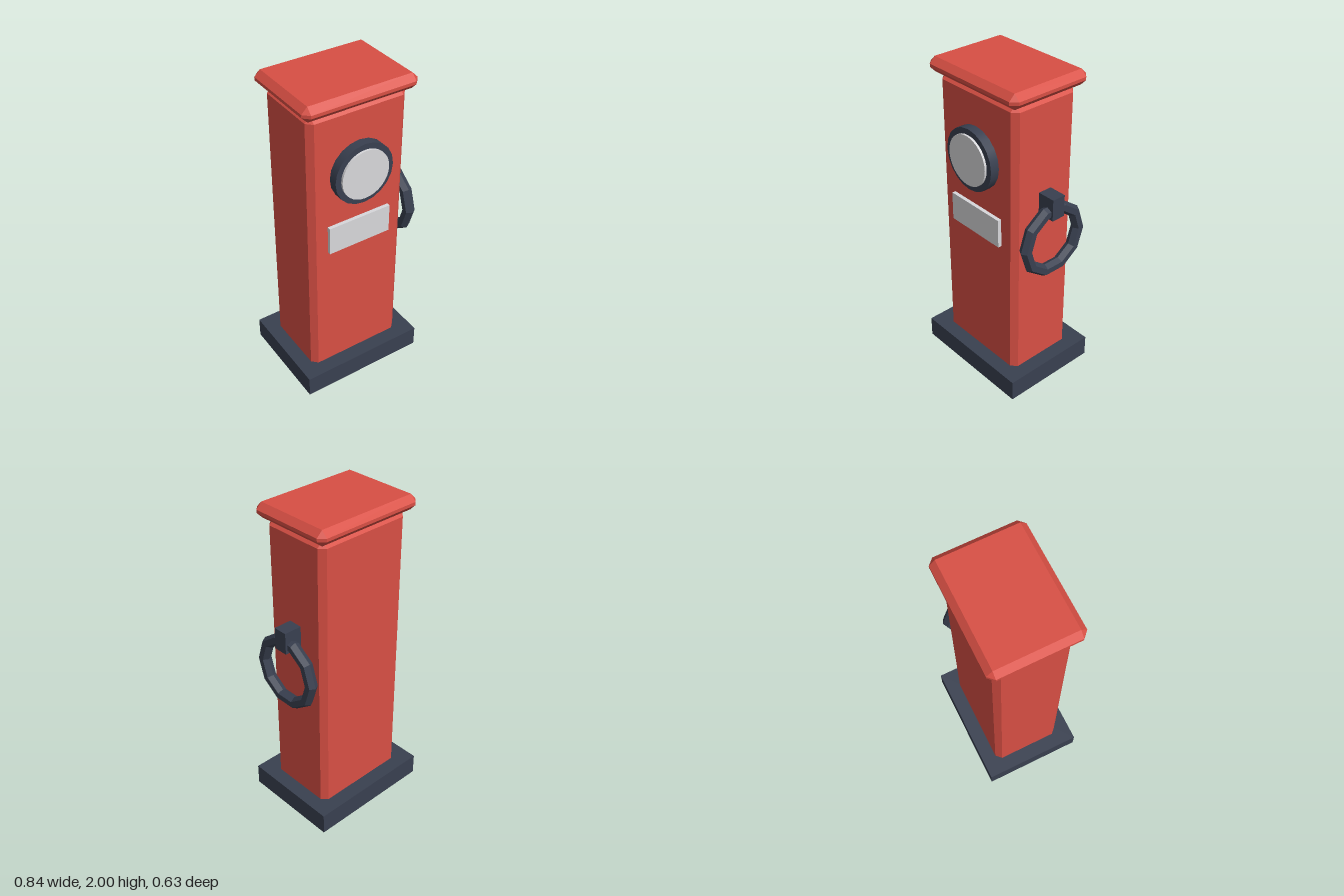
import * as THREE from 'three';
import { ConvexGeometry } from 'three/addons/geometries/ConvexGeometry.js';

const CX = -0.013; // post axis in x

// Box with every edge cut at 45 degrees by c
function chamferedBox(w, h, d, c) {
  const points = [];
  for (const sx of [-1, 1]) for (const sy of [-1, 1]) for (const sz of [-1, 1]) {
    for (let axis = 0; axis < 3; axis++) {
      const half = [w / 2, h / 2, d / 2].map((v, i) => (i === axis ? v : v - c));
      points.push(new THREE.Vector3(sx * half[0], sy * half[1], sz * half[2]));
    }
  }
  return new ConvexGeometry(points);
}

export function createModel() {
  const group = new THREE.Group();
  const material = (name, color) => {
    const m = new THREE.MeshStandardMaterial({ color });
    m.name = name;
    return m;
  };
  const red = material('red paint', 0xd84f44);
  const dark = material('dark metal', 0x394050);
  const pale = material('pale grey', 0xd8d8db);
  const ringMetal = dark;

  const add = (name, geometry, mat, x, y, z) => {
    const mesh = new THREE.Mesh(geometry, mat);
    mesh.name = name;
    mesh.position.set(x, y, z);
    group.add(mesh);
    return mesh;
  };

  // Base, post and cap
  add('base', new THREE.BoxGeometry(0.816, 0.136, 0.634), dark, CX, 0.068, 0);
  add('post', chamferedBox(0.636, 1.9, 0.452, 0.035), red, CX, 0.96, 0);
  add('cap', chamferedBox(0.726, 0.091, 0.548, 0.036), red, CX, 1.9545, 0);

  // Round dial
  add('dialRim', new THREE.CylinderGeometry(0.19, 0.19, 0.1, 20), dark, CX, 1.503, 0.232).rotation.x = Math.PI / 2;
  add('dialFace', new THREE.CylinderGeometry(0.154, 0.154, 0.04, 32), pale, CX, 1.503, 0.276).rotation.x = Math.PI / 2;

  // Name plate
  add('plate', new THREE.BoxGeometry(0.412, 0.18, 0.06), pale, CX, 1.096, 0.219);

  // Side bracket with its hanging ring
  add('bracket', new THREE.BoxGeometry(0.14, 0.136, 0.088), dark, 0.348, 1.273, 0);
  const ringGeometry = new THREE.TorusGeometry(0.203, 0.037, 6, 10).toNonIndexed();
  ringGeometry.computeVertexNormals();
  add('ring', ringGeometry, ringMetal, 0.374, 1.05, 0).rotation.y = Math.PI / 2;

  return group;
}
